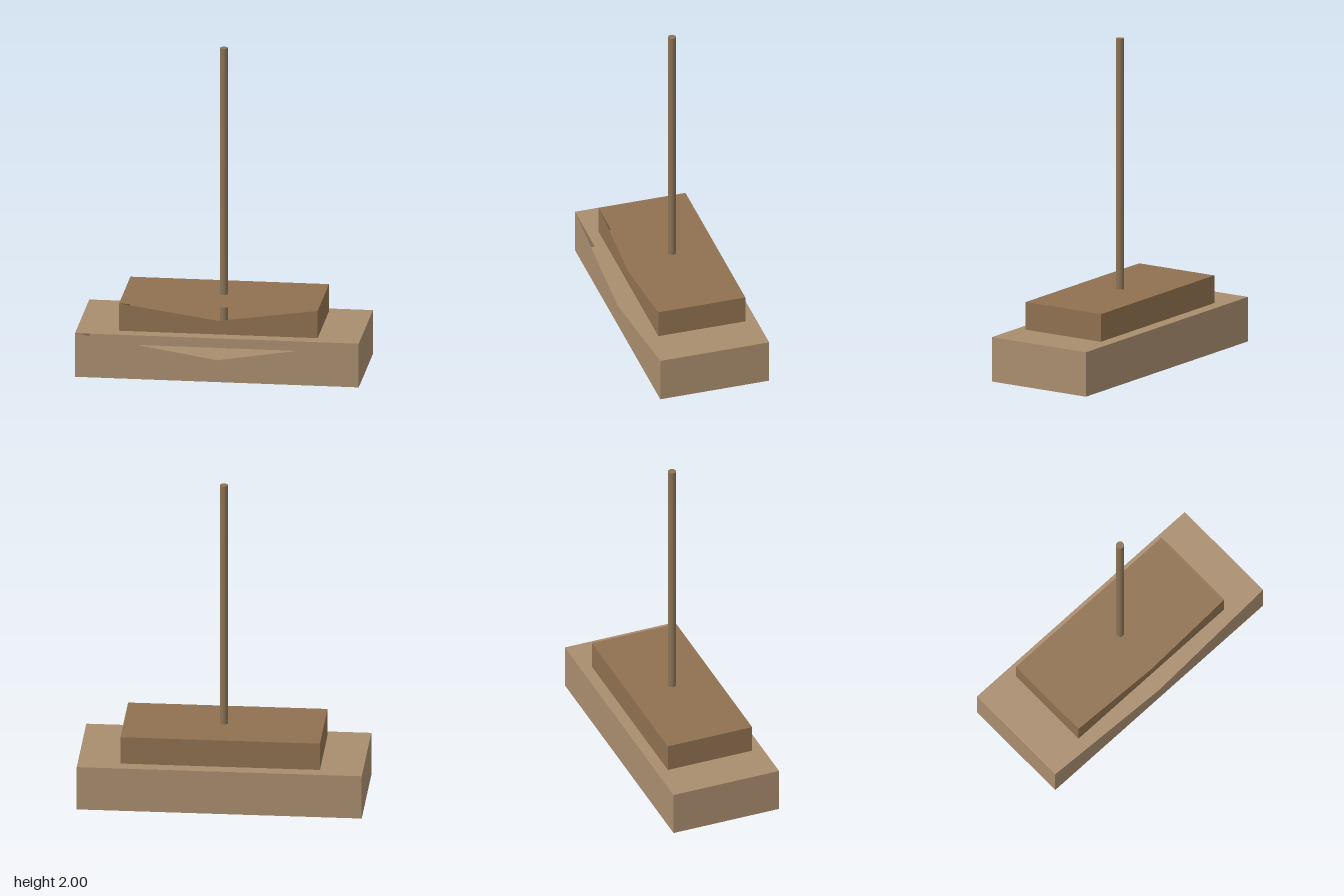
import * as THREE from 'three';
import { mergeGeometries } from 'three/addons/utils/BufferGeometryUtils.js';

const paint = (color) => new THREE.MeshStandardMaterial({ color, side: THREE.DoubleSide });

// Hollow block whose front panel has a shallow V cut from its top corners to its centre
function notchedBlock(name, width, depth, y0, y1, color) {
  const height = y1 - y0, w = width / 2, h = height / 2;

  // Box without its front face (indices 24 to 29)
  const shell = new THREE.BoxGeometry(width, height, depth);
  const index = Array.from(shell.index.array);
  index.splice(24, 6);
  shell.setIndex(index);
  shell.clearGroups();

  // Front panel with the V cut
  const outline = new THREE.Shape([[-w, -h], [w, -h], [w, h], [0, 0], [-w, h]]
    .map(([x, y]) => new THREE.Vector2(x, y)));
  const front = new THREE.ShapeGeometry(outline).translate(0, 0, depth / 2);

  const mesh = new THREE.Mesh(mergeGeometries([shell, front]), paint(color));
  mesh.name = name;
  mesh.position.y = (y0 + y1) / 2;
  return mesh;
}

export function createModel() {
  const model = new THREE.Group();
  model.name = 'steppedBaseWithPole';

  // Two stacked tiers
  model.add(notchedBlock('lowerTier', 1.72, 0.686, 0, 0.275, 0xa98d6e));
  model.add(notchedBlock('upperTier', 1.204, 0.548, 0.279, 0.45, 0x8f7150));

  // Slim pole standing inside the upper tier
  const bottom = 0.28, top = 2;
  const pole = new THREE.Mesh(
    new THREE.CylinderGeometry(0.024, 0.024, top - bottom, 16), paint(0x8b7355));
  pole.name = 'pole';
  pole.position.y = (top + bottom) / 2;
  model.add(pole);

  return model;
}
